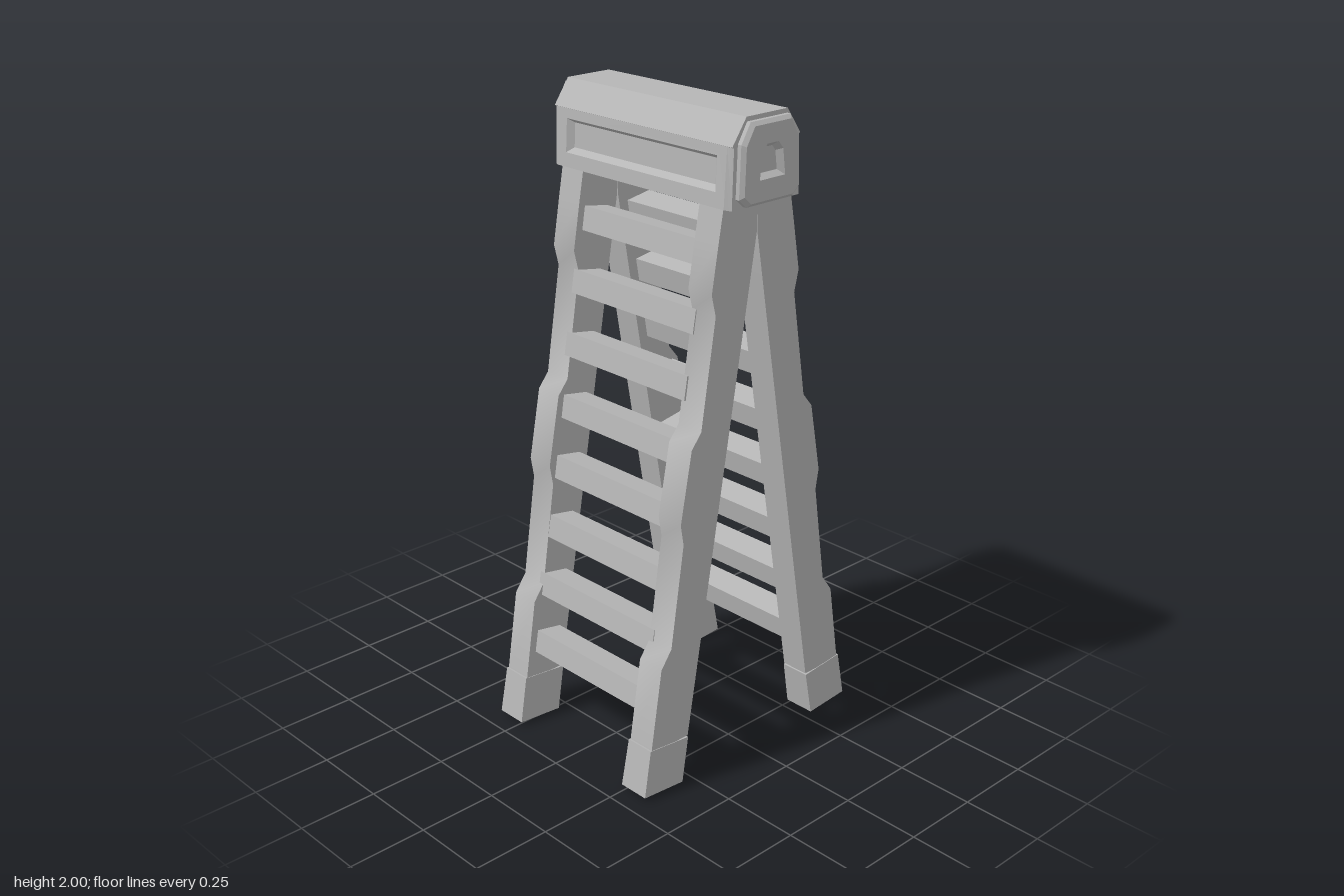
import * as THREE from 'three';
import { toCreasedNormals } from 'three/addons/utils/BufferGeometryUtils.js';

// Skin a list of equal-length rings (counter-clockwise seen from the far end), capped at both ends.
function loft(rings, crease = 0.3) {
  const pos = [];
  const tri = (a, b, c) => pos.push(...a, ...b, ...c);
  const n = rings[0].length;
  const mid = (r) => [0, 1, 2].map((k) => r.reduce((s, p) => s + p[k], 0) / n);
  const first = rings[0];
  const last = rings[rings.length - 1];
  const c0 = mid(first);
  const c1 = mid(last);
  for (let j = 0; j < n; j++) {
    const k = (j + 1) % n;
    for (let i = 0; i + 1 < rings.length; i++) {
      const a = rings[i];
      const b = rings[i + 1];
      tri(a[j], a[k], b[k]);
      tri(a[j], b[k], b[j]);
    }
    tri(c0, first[k], first[j]);
    tri(c1, last[j], last[k]);
  }
  const geo = new THREE.BufferGeometry();
  geo.setAttribute('position', new THREE.Float32BufferAttribute(pos, 3));
  return toCreasedNormals(geo, crease);
}

// Rectangular leg section: half width, outer (y, z) and inner (y, z)
const legRing = (w, yo, zo, yi, zi) => [[w, yo, zo], [w, yi, zi], [-w, yi, zi], [-w, yo, zo]];
const SLOPE = 0.172;
const innerZ = (y) => Math.max(0, 0.287 - SLOPE * y);

export function createModel() {
  const model = new THREE.Group();
  const grey = new THREE.MeshStandardMaterial({ color: 0xb6b6b6 });
  grey.name = 'grey';

  const add = (parent, name, geo) => {
    const mesh = new THREE.Mesh(geo, grey);
    mesh.name = name;
    parent.add(mesh);
    return mesh;
  };

  // Uneven outer edge of a leg, as (y, z)
  const outer = [
    [0.15, 0.41], [0.415, 0.368], [0.47, 0.328], [0.79, 0.28], [0.855, 0.291], [1.075, 0.249],
    [1.12, 0.212], [1.45, 0.159], [1.515, 0.175], [1.66, 0.15], [1.77, 0.13],
  ];
  const legGeo = loft(outer.map(([y, z]) => legRing(0.046, y, z, y, innerZ(y))), 0.6);
  const footGeo = loft([
    legRing(0.051, 0.012, 0.441, 0, 0.287),
    legRing(0.048, 0.16, 0.414, 0.145, innerZ(0.145) - 0.001),
  ]);
  const rungGeo = new THREE.BoxGeometry(0.52, 0.073, 0.09);

  // Two identical ladder sides leaning together
  for (const side of ['front', 'back']) {
    const ladder = new THREE.Group();
    ladder.name = side + 'Ladder';
    ladder.rotation.y = side === 'front' ? 0 : Math.PI;
    for (const s of [-1, 1]) {
      add(ladder, 'leg', legGeo).position.x = s * 0.289;
      add(ladder, 'foot', footGeo).position.x = s * 0.289;
    }
    for (let i = 0; i < 8; i++) {
      const rung = add(ladder, 'rung', rungGeo);
      rung.position.set(0, 0.268 + i * 0.1905, 0.32 - i * 0.1905 * SLOPE);
      rung.rotation.x = -Math.atan(SLOPE);
    }
    model.add(ladder);
  }

  // Top beam
  const head = new THREE.Group();
  head.name = 'topBeam';
  model.add(head);
  const half = [[0.115, 1.75], [0.115, 1.915], [0.133, 1.925], [0.08, 2]];
  const profile = [...half, ...half.map(([u, y]) => [-u, y]).reverse()];
  const beamRing = (x, pts) => pts.map(([u, y]) => [x, y, -u]);
  add(head, 'beamCore', loft([beamRing(-0.365, profile), beamRing(0.365, profile)]));

  // Front and back plates with a sunken panel
  const plateRing = (x, y0, y1, z0, z1) => [[-x, y0, z0], [x, y0, z0], [x, y1, z1], [-x, y1, z1]];
  const plateGeo = loft([
    plateRing(0.365, 1.75, 1.925, 0.1, 0.1),
    plateRing(0.365, 1.75, 1.925, 0.132, 0.126),
    plateRing(0.345, 1.752, 1.924, 0.143, 0.132),
    plateRing(0.31, 1.795, 1.895, 0.14, 0.134),
    plateRing(0.292, 1.81, 1.883, 0.122, 0.118),
  ]);

  // End caps with an arched recess
  const mirror = (pts) => [...pts, ...pts.map(([u, y]) => [-u, y]).reverse()];
  const capShape = mirror([[0.09, 1.755], [0.118, 1.78], [0.112, 1.93], [0.078, 1.987]]);
  const archShape = mirror([[0.05, 1.825], [0.046, 1.855], [0.04, 1.9], [0.022, 1.922]]);
  const scaled = (pts, s, cy) => pts.map(([u, y]) => [u * s, cy + (y - cy) * s]);
  const capGeo = loft([
    beamRing(0.35, capShape),
    beamRing(0.378, capShape),
    beamRing(0.389, scaled(capShape, 0.91, 1.87)),
    beamRing(0.389, archShape),
    beamRing(0.37, scaled(archShape, 0.72, 1.875)),
  ]);
  for (const angle of [0, Math.PI]) {
    add(head, 'sidePlate', plateGeo).rotation.y = angle;
    add(head, 'endCap', capGeo).rotation.y = angle;
  }
  return model;
}
